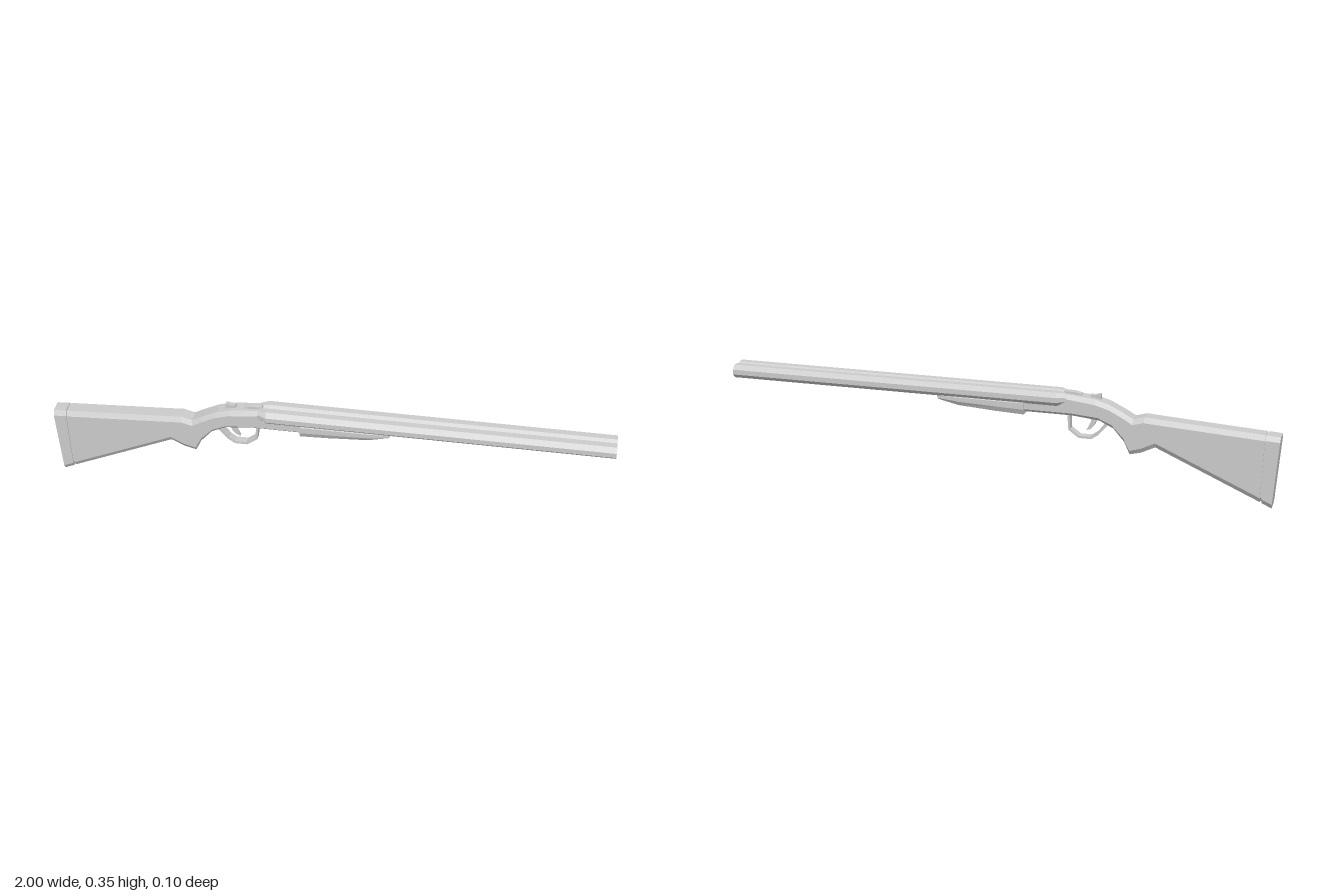
import * as THREE from 'three';

const material = new THREE.MeshStandardMaterial({ color: 0xcccccc, flatShading: true });

function addMesh(group, name, geometry) {
  const mesh = new THREE.Mesh(geometry, material);
  mesh.name = name;
  group.add(mesh);
  return mesh;
}

// Chamfered-box loft. Station: [xTop, yTop, xBottom, yBottom, halfWidth, chamferZ, chamferTop, chamferBottom]
function loft(stations) {
  const rings = stations.map(([xt, yt, xb, yb, w, c, ct, cb]) =>
    [[w, yt - ct], [w - c, yt], [c - w, yt], [-w, yt - ct],
      [-w, yb + cb], [c - w, yb], [w - c, yb], [w, yb + cb]].map(([z, y]) => {
      const t = (y - yb) / (yt - yb);
      return [xb + (xt - xb) * t, y, z];
    }));
  const out = [];
  const tri = (a, b, c) => out.push(...a, ...b, ...c);
  for (let i = 0; i < rings.length - 1; i++) {
    for (let j = 0; j < 8; j++) {
      const k = (j + 1) % 8, r = rings[i], s = rings[i + 1];
      tri(r[j], s[j], s[k]);
      tri(r[j], s[k], r[k]);
    }
  }
  const first = rings[0], last = rings[rings.length - 1];
  for (let j = 1; j < 7; j++) {
    tri(first[0], first[j], first[j + 1]);
    tri(last[0], last[j + 1], last[j]);
  }
  const g = new THREE.BufferGeometry();
  g.setAttribute('position', new THREE.Float32BufferAttribute(out, 3));
  g.computeVertexNormals();
  return g;
}

// Side-profile plate, centred on z = 0
function plate(points, width) {
  const shape = new THREE.Shape(points.map(([x, y]) => new THREE.Vector2(x, y)));
  return new THREE.ExtrudeGeometry(shape, { depth: width, bevelEnabled: false }).translate(0, 0, -width / 2);
}

// Twin-barrel outline with a sighting groove on top
function barrelShape() {
  const half = [[0, 0.342], [0.011, 0.351], [0.035, 0.351], [0.051, 0.336], [0.051, 0.318], [0.035, 0.303]];
  const mirrored = half.slice(1).reverse().map(([z, y]) => [-z, y]);
  return new THREE.Shape([...half, ...mirrored].map(([z, y]) => new THREE.Vector2(z, y)));
}

function extrudeAlongX(shape, x0, x1) {
  return new THREE.ExtrudeGeometry(shape, { depth: x1 - x0, bevelEnabled: false })
    .rotateY(Math.PI / 2).translate(x0, 0, 0);
}

export function createModel() {
  const model = new THREE.Group();
  model.name = 'shotgun';

  // Butt pad, seam and stock running into the receiver
  addMesh(model, 'buttPad', loft([
    [-1, 0.259, -0.98, 0, 0.035, 0.011, 0.017, 0.017],
    [-0.954, 0.262, -0.945, 0.016, 0.035, 0.011, 0.017, 0.017],
  ]));
  addMesh(model, 'padSeam', loft([
    [-0.956, 0.258, -0.947, 0.020, 0.031, 0.01, 0.016, 0.016],
    [-0.944, 0.259, -0.935, 0.024, 0.031, 0.01, 0.016, 0.016],
  ]));
  addMesh(model, 'stock', loft([
    [-0.948, 0.262, -0.939, 0.019, 0.035, 0.011, 0.018, 0.018],
    [-0.57, 0.284, -0.57, 0.181, 0.035, 0.011, 0.018, 0.018],
    [-0.53, 0.287, -0.52, 0.157, 0.035, 0.011, 0.018, 0.018],
    [-0.49, 0.276, -0.48, 0.147, 0.035, 0.011, 0.018, 0.016],
    [-0.45, 0.298, -0.46, 0.19, 0.035, 0.011, 0.018, 0.016],
    [-0.40, 0.322, -0.42, 0.236, 0.035, 0.011, 0.018, 0.014],
    [-0.35, 0.336, -0.37, 0.26, 0.035, 0.011, 0.018, 0.012],
    [-0.27, 0.344, -0.27, 0.27, 0.035, 0.011, 0.016, 0.01],
    [-0.235, 0.347, -0.235, 0.27, 0.035, 0.011, 0.014, 0.01],
  ]));
  addMesh(model, 'receiver', loft([
    [-0.236, 0.315, -0.236, 0.27, 0.035, 0.011, 0.008, 0.01],
    [-0.09, 0.315, -0.09, 0.27, 0.035, 0.011, 0.008, 0.01],
  ]));

  // Fore-end under the barrels, tapering to its tip
  addMesh(model, 'foreEnd', loft([
    [-0.1, 0.306, -0.1, 0.26, 0.042, 0.009, 0.003, 0.02],
    [0.0, 0.306, 0.0, 0.264, 0.042, 0.009, 0.003, 0.019],
    [0.14, 0.306, 0.14, 0.273, 0.042, 0.009, 0.003, 0.015],
    [0.215, 0.306, 0.215, 0.287, 0.036, 0.009, 0.003, 0.006],
    [0.22, 0.306, 0.22, 0.296, 0.034, 0.009, 0.003, 0.003],
  ]));

  // Barrels: flared breech, long body and bored muzzle
  const breech = extrudeAlongX(barrelShape(), -0.25, -0.22);
  const p = breech.attributes.position;
  for (let i = 0; i < p.count; i++) {
    if (p.getX(i) < -0.24) {
      p.setZ(i, p.getZ(i) * 0.68);
      p.setY(i, 0.33 + (p.getY(i) - 0.33) * 0.8);
    }
  }
  breech.computeVertexNormals();
  addMesh(model, 'breech', breech);
  addMesh(model, 'barrels', extrudeAlongX(barrelShape(), -0.22, 0.93));
  const muzzle = barrelShape();
  for (const side of [-1, 1]) {
    const bore = [];
    for (let i = 0; i < 8; i++) {
      const a = (i + 0.5) * Math.PI / 4;
      bore.push(new THREE.Vector2(side * 0.0255 + 0.0205 * Math.cos(a), 0.326 + 0.0205 * Math.sin(a)));
    }
    muzzle.holes.push(new THREE.Path(bore));
  }
  addMesh(model, 'muzzle', extrudeAlongX(muzzle, 0.93, 1));

  // Trigger guard strip: outer line, then inner line back
  addMesh(model, 'triggerGuard', plate([
    [-0.405, 0.25], [-0.365, 0.203], [-0.34, 0.186], [-0.295, 0.186], [-0.257, 0.213], [-0.253, 0.275],
    [-0.261, 0.275], [-0.264, 0.217], [-0.297, 0.194], [-0.337, 0.194], [-0.359, 0.209], [-0.39, 0.25],
  ], 0.03));
  addMesh(model, 'trigger', plate([
    [-0.36, 0.27], [-0.35, 0.237], [-0.335, 0.22], [-0.32, 0.214],
    [-0.327, 0.23], [-0.336, 0.247], [-0.338, 0.27],
  ], 0.012));

  // Safety catch and opening lever on top
  addMesh(model, 'safetyCatch', plate([
    [-0.37, 0.325], [-0.37, 0.35], [-0.36, 0.35], [-0.35, 0.345], [-0.335, 0.347], [-0.33, 0.33],
  ], 0.016));
  addMesh(model, 'topLever', plate([
    [-0.305, 0.335], [-0.3, 0.346], [-0.275, 0.352], [-0.24, 0.352], [-0.235, 0.335],
  ], 0.024));

  return model;
}
